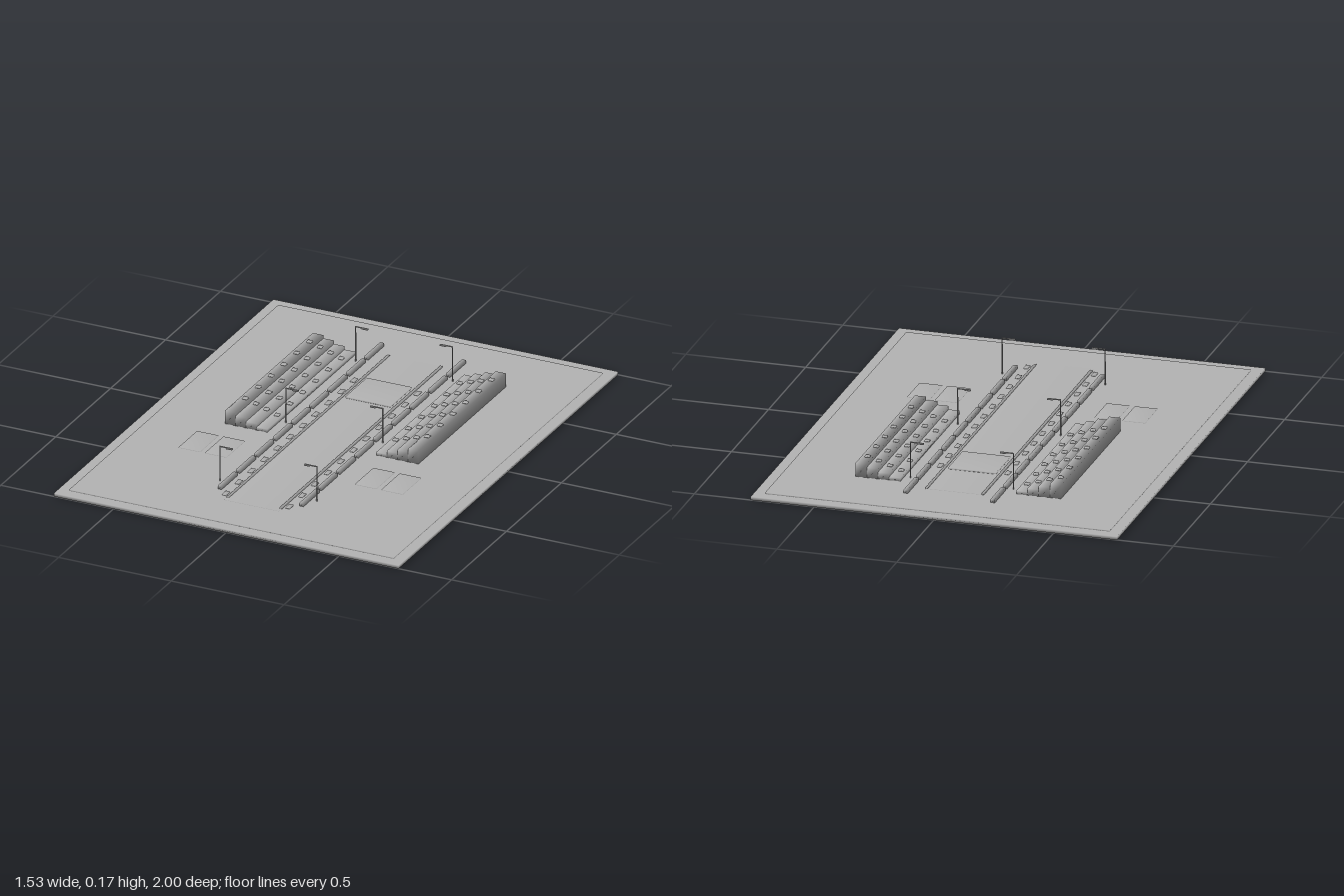
import * as THREE from 'three';
import { mergeVertices } from 'three/addons/utils/BufferGeometryUtils.js';

const grey = new THREE.MeshStandardMaterial({ color: 0xb4b4b4 });
grey.name = 'concrete grey';

// Box given by its x, y and z ranges; corners share normals for soft shading
function block(parent, name, [x0, x1], [y0, y1], [z0, z1], soft = true) {
  let geo = new THREE.BoxGeometry(Math.abs(x1 - x0), y1 - y0, z1 - z0);
  if (soft) {
    geo.deleteAttribute('normal');
    geo.deleteAttribute('uv');
    geo = mergeVertices(geo);
    geo.computeVertexNormals();
  }
  const mesh = new THREE.Mesh(geo, grey);
  mesh.name = name;
  mesh.position.set((x0 + x1) / 2, (y0 + y1) / 2, (z0 + z1) / 2);
  parent.add(mesh);
  return mesh;
}

function group(parent, name) {
  const g = new THREE.Group();
  g.name = name;
  parent.add(g);
  return g;
}

export function createModel() {
  const model = new THREE.Group();
  model.name = 'paradeGround';
  const floor = 0.019;

  // Ground slab and raised inner paving
  block(model, 'groundSlab', [-0.765, 0.765], [0, 0.014], [-1, 1]);
  block(model, 'paving', [-0.72, 0.72], [0.012, floor], [-0.953, 0.953]);

  // Central avenue with raised plaza
  block(model, 'avenue', [-0.12, 0.12], [0.012, 0.021], [-0.72, 0.768]);
  block(model, 'plaza', [-0.1, 0.1], [0.015, 0.027], [-0.485, -0.29]);

  for (const s of [-1, 1]) {
    const side = group(model, s > 0 ? 'leftSide' : 'rightSide');
    const span = (a, b) => [s * a, s * b];

    // Avenue kerb
    block(side, 'kerb', span(0.112, 0.122), [0.015, 0.024], [-0.72, 0.745]);

    // Stepped grandstand with a row of seats on every tier
    const stand = group(side, 'grandstand');
    [0.033, 0.048, 0.063, 0.077].forEach((top, tier) => {
      const x = 0.242 + tier * 0.0468;
      block(stand, 'tier', span(x, x + 0.0465), [0.015, top], [-0.67, 0.13]);
      for (let i = 0; i < 6; i++) {
        const z = -0.588 + i * 0.1167;
        block(stand, 'seat', span(x + 0.011, x + 0.031), [top - 0.003, top + 0.005], [z - 0.01, z + 0.01]);
      }
    });

    // Pair of low pads in front of the stand
    for (const x of [0.285, 0.402]) {
      block(side, 'pad', span(x, x + 0.095), [0.012, 0.022], [0.245, 0.412]);
    }

    // Row of barriers
    for (let i = 0; i < 9; i++) {
      const z = -0.792 + i * 0.1668;
      block(side, 'barrier', span(0.173, 0.19), [0.015, 0.034], [z, z + 0.144]);
    }

    // Row of small floor markers
    for (let i = 0; i < 11; i++) {
      const z = -0.455 + i * 0.1167;
      block(side, 'marker', span(0.132, 0.15), [0.015, 0.023], [z - 0.018, z + 0.018]);
    }

    // Street lamps with arms reaching over the avenue
    for (const z of [-0.62, 0.015, 0.615]) {
      const lamp = group(side, 'lamp');
      const pole = new THREE.Mesh(new THREE.CylinderGeometry(0.0025, 0.003, 0.156, 8), grey);
      pole.name = 'pole';
      pole.position.set(s * 0.215, 0.094, z);
      lamp.add(pole);
      block(lamp, 'arm', span(0.16, 0.217), [0.169, 0.173], [z - 0.002, z + 0.002], false);
      block(lamp, 'lampHead', span(0.16, 0.185), [0.167, 0.171], [z - 0.006, z + 0.006], false);
    }
  }
  return model;
}
